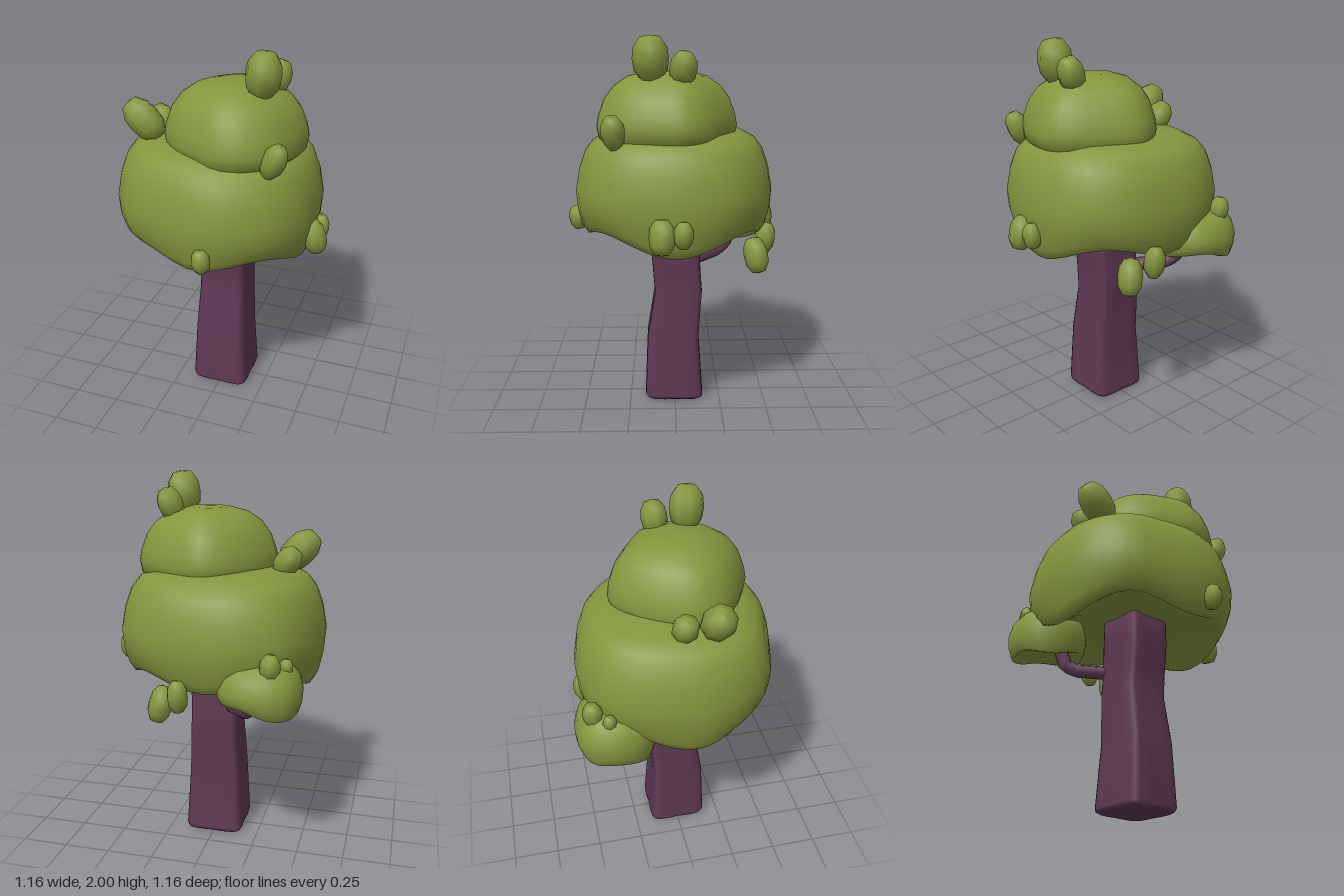
import * as THREE from 'three';
import { mergeVertices } from 'three/addons/utils/BufferGeometryUtils.js';

const leafGreen = new THREE.MeshStandardMaterial({ color: 0x84963e });
leafGreen.name = 'leafGreen';
const barkPurple = new THREE.MeshStandardMaterial({ color: 0x5f3854 });
barkPurple.name = 'barkPurple';

// Smooth closed skin: an [x, z] outline scaled about a centre, stacked from top to bottom.
// Each layer is [scale, y, rim weight, shift in z]; rim(angle) bends the layer up or down.
function loft(outline, centre, layers, n, rim = () => 0) {
  const curve = new THREE.CatmullRomCurve3(
    outline.map(([x, z]) => new THREE.Vector3(x, 0, z)), true);
  const ring = curve.getPoints(n).slice(0, n);
  const pos = [], index = [];
  for (const [s, y, w = 0, dz = 0] of layers) {
    for (const p of ring) {
      const x = p.x - centre[0], z = p.z - centre[1];
      const dy = w * rim(Math.atan2(z, x));
      pos.push(centre[0] + x * s, y + dy, centre[1] + z * s + dz);
    }
  }
  for (let i = 0; i < layers.length - 1; i++) {
    for (let j = 0; j < n; j++) {
      const k = (j + 1) % n, a = i * n + j, b = i * n + k;
      if (layers[i][0] > 0) index.push(a, b, a + n);
      if (layers[i + 1][0] > 0) index.push(b, b + n, a + n);
    }
  }
  let g = new THREE.BufferGeometry();
  g.setAttribute('position', new THREE.Float32BufferAttribute(pos, 3));
  g.setIndex(index);
  g = mergeVertices(g, 1e-5);
  g.computeVertexNormals();
  return g;
}

// Small eight-sided leaf lump, leaning in the direction of its axis
function leafLump([x, y, z], r, h, axis) {
  const profile = [[0, -1], [0.55, -0.93], [0.92, -0.5], [1, 0], [0.92, 0.5], [0.55, 0.93], [0, 1]]
    .map(([a, b]) => new THREE.Vector2(a * r, b * h));
  const m = new THREE.Mesh(new THREE.LatheGeometry(profile, 8), leafGreen);
  m.position.set(x, y, z);
  m.quaternion.setFromUnitVectors(new THREE.Vector3(0, 1, 0), new THREE.Vector3(...axis).normalize());
  m.name = 'leafLump';
  return m;
}

export function createModel() {
  const tree = new THREE.Group();
  tree.name = 'tree';
  const add = (name, geometry, material) => {
    const m = new THREE.Mesh(geometry, material);
    m.name = name;
    tree.add(m);
  };

  // Trunk: rounded square, leaning slightly backwards in the middle
  const square = [[1, 0], [1, 0.8], [0.8, 1], [0, 1], [-0.8, 1], [-1, 0.8], [-1, 0],
    [-1, -0.8], [-0.8, -1], [0, -1], [0.8, -1], [1, -0.8]];
  add('trunk', loft(square, [0, 0], [
    [0, 1.12], [0.13, 1.12], [0.132, 0.92], [0.128, 0.75, 0, -0.01], [0.128, 0.62, 0, -0.02],
    [0.14, 0.36, 0, 0.01], [0.157, 0.03, 0, 0.005], [0.152, 0.012], [0.135, 0], [0, 0],
  ], 24), barkPurple);

  // Side branch: bent square bar rising into the small leaf cluster
  const bend = new THREE.CurvePath();
  const knots = [[-0.06, 0.75, -0.06], [-0.2, 0.785, -0.25], [-0.245, 0.82, -0.3], [-0.26, 0.96, -0.345]]
    .map((p) => new THREE.Vector3(...p));
  for (let i = 0; i < 3; i++) bend.add(new THREE.LineCurve3(knots[i], knots[i + 1]));
  add('branch', new THREE.TubeGeometry(bend, 16, 0.038, 6), barkPurple);

  // Main canopy: broad cushion with a wavy rim and a hollow underside
  const canopy = [[0.51, 0], [0.49, 0.18], [0.43, 0.32], [0.33, 0.43], [0.17, 0.515], [0, 0.53],
    [-0.2, 0.485], [-0.4, 0.41], [-0.51, 0.28], [-0.56, 0.16], [-0.58, 0.03], [-0.56, -0.12],
    [-0.52, -0.26], [-0.44, -0.4], [-0.33, -0.48], [-0.18, -0.53], [0, -0.53], [0.2, -0.49],
    [0.34, -0.41], [0.45, -0.29], [0.5, -0.14]];
  const wave = (a) => -0.04 * Math.cos(4 * a) - 0.02 * Math.cos(2 * a);
  add('mainCanopy', loft(canopy, [-0.03, 0], [
    [0, 1.53], [0.4, 1.525], [0.68, 1.503], [0.82, 1.465], [0.9, 1.41], [0.96, 1.32], [1, 1.2, 0.1],
    [0.985, 1.1, 0.4], [0.94, 1.01, 0.85], [0.885, 0.965, 1], [0.84, 0.965, 1],
    [0.75, 1.0, 0.6], [0.5, 1.04, 0.2], [0, 1.05],
  ], 44, wave), leafGreen);

  // Upper canopy: smaller dome set to one side
  const dome = [[0.43, 0], [0.4, 0.15], [0.33, 0.3], [0.21, 0.39], [0.08, 0.41], [-0.06, 0.355],
    [-0.2, 0.27], [-0.28, 0.17], [-0.305, 0.06], [-0.27, -0.06], [-0.2, -0.18], [-0.1, -0.28],
    [0, -0.33], [0.08, -0.325], [0.2, -0.27], [0.36, -0.17], [0.42, -0.08]];
  add('upperCanopy', loft(dome, [0.06, 0.04], [
    [0, 1.825], [0.3, 1.82], [0.56, 1.795], [0.76, 1.745], [0.89, 1.68], [0.97, 1.6],
    [1, 1.54], [0.97, 1.48], [0.85, 1.44], [0, 1.43],
  ], 36), leafGreen);

  // Small leaf cluster on the side branch, hollow below
  const cluster = [[-0.09, -0.38], [-0.13, -0.27], [-0.22, -0.18], [-0.34, -0.16], [-0.46, -0.21],
    [-0.515, -0.31], [-0.52, -0.42], [-0.48, -0.52], [-0.39, -0.575], [-0.28, -0.58],
    [-0.17, -0.55], [-0.11, -0.48]];
  add('smallCanopy', loft(cluster, [-0.31, -0.37], [
    [0, 1.12], [0.45, 1.115], [0.75, 1.09], [0.92, 1.045], [1, 0.98], [0.98, 0.92, 0.5],
    [0.9, 0.87, 1], [0.82, 0.865, 1], [0.7, 0.9, 0.5], [0, 0.935],
  ], 28, (a) => 0.03 * Math.cos(a + 0.7) - 0.015 * Math.cos(3 * a)), leafGreen);

  // Leaf lumps: centre, radius, half length, lean
  const lumps = [
    [[0.23, 1.885, 0.125], 0.093, 0.115, [0.12, 1, 0.03]],
    [[0.255, 1.835, -0.04], 0.07, 0.088, [0.35, 1, -0.1]],
    [[-0.41, 1.59, 0.13], 0.087, 0.125, [-0.8, 0.8, 0]],
    [[-0.37, 1.55, -0.02], 0.068, 0.085, [-0.6, 0.8, 0]],
    [[0.345, 1.525, 0.31], 0.062, 0.092, [0.45, 1, 0.1]],
    [[0.05, 1.04, 0.525], 0.05, 0.066, [0, 1, 0.15]],
    [[0.51, 1.035, 0.07], 0.066, 0.092, [-0.25, 1, 0]],
    [[0.515, 1.045, -0.035], 0.05, 0.068, [0.1, 1, 0]],
    [[0.2, 0.86, -0.43], 0.065, 0.098, [-0.25, 1, 0.2]],
    [[0.09, 0.93, -0.49], 0.055, 0.085, [0, 1, -0.1]],
    [[-0.375, 1.115, -0.49], 0.053, 0.068, [-0.1, 1, -0.1]],
    [[-0.44, 1.1, -0.415], 0.036, 0.045, [-0.2, 1, 0]],
  ];
  for (const l of lumps) tree.add(leafLump(...l));
  return tree;
}
